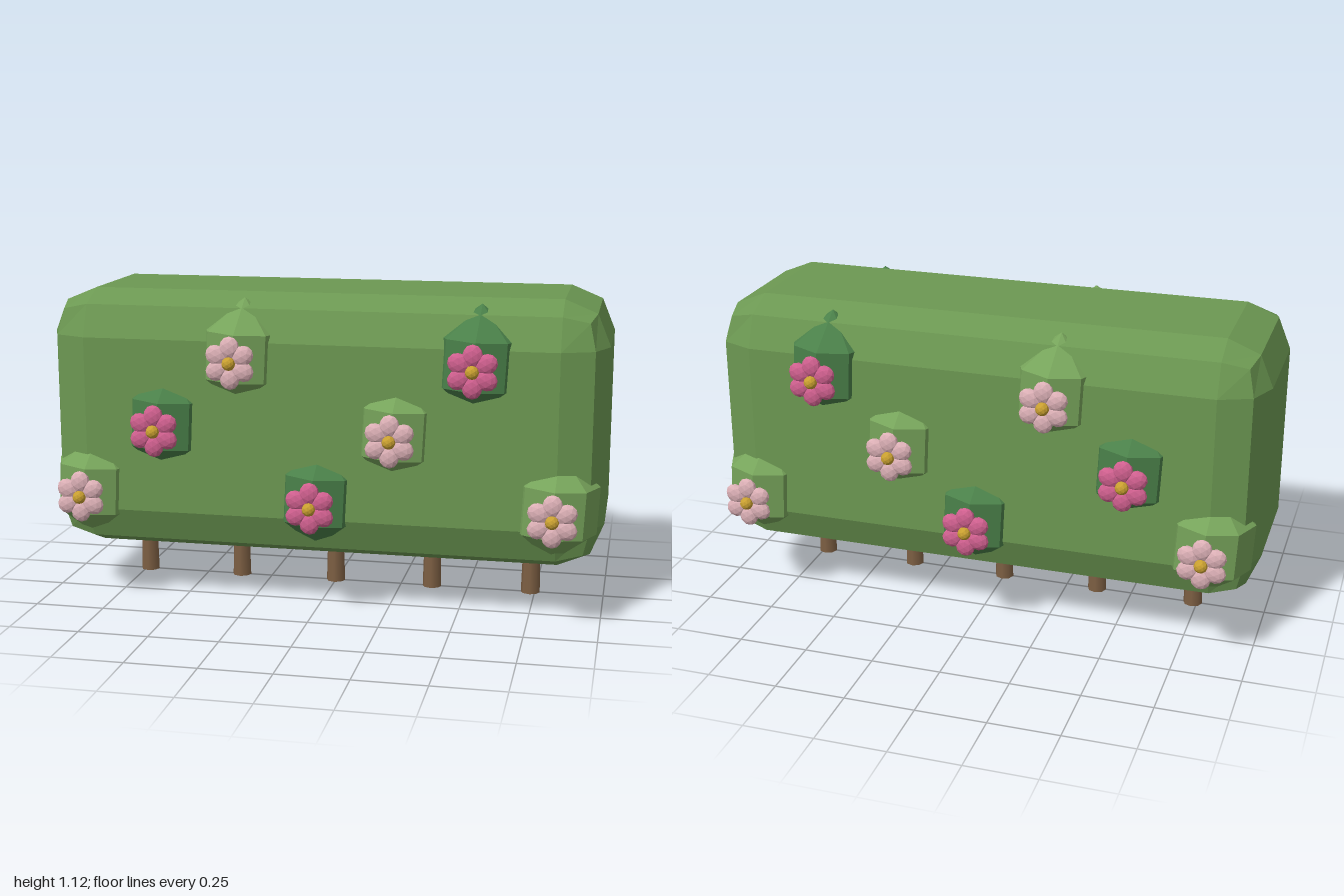
import * as THREE from 'three';
import { RoundedBoxGeometry } from 'three/addons/geometries/RoundedBoxGeometry.js';

const mat = (name, color) => {
  const m = new THREE.MeshStandardMaterial({ color });
  m.name = name;
  return m;
};

// Give every face its own normal for a faceted look
function faceted(geometry) {
  const g = geometry.index ? geometry.toNonIndexed() : geometry;
  g.computeVertexNormals();
  return g;
}

function part(parent, name, geometry, material, x = 0, y = 0, z = 0) {
  const mesh = new THREE.Mesh(geometry, material);
  mesh.name = name;
  mesh.position.set(x, y, z);
  parent.add(mesh);
  return mesh;
}

export function createModel() {
  const model = new THREE.Group();
  model.name = 'floweringHedge';

  const hedge = mat('hedge green', 0x6c9852);
  const lightLeaf = mat('light leaf green', 0x76a35a);
  const darkLeaf = mat('dark leaf green', 0x4a8049);
  const bark = mat('bark brown', 0x7d5f43);
  const pink = mat('deep pink', 0xd0608f);
  const blush = mat('pale pink', 0xdcb0b6);
  const gold = mat('pollen gold', 0xc9a030);

  // Clipped hedge body with chamfered edges
  part(model, 'hedgeBody', faceted(new RoundedBoxGeometry(2, 0.945, 0.734, 1, 0.16)), hedge, 0, 0.645, 0);

  // Row of trunks
  const trunk = new THREE.CylinderGeometry(0.029, 0.035, 0.22, 8);
  for (let i = -2; i <= 2; i++) part(model, 'trunk', trunk, bark, i * 0.367, 0.11, 0);

  // Shared geometry for the leaf clumps and flowers
  const profile = [[0, -0.2], [0.147, -0.085], [0.147, 0.085], [0, 0.2]].map(([r, y]) => new THREE.Vector2(r, y));
  const clump = faceted(new THREE.LatheGeometry(profile, 8));
  const stalk = new THREE.CylinderGeometry(0.008, 0.008, 0.08, 6).rotateX(Math.PI / 2);
  const petal = faceted(new THREE.IcosahedronGeometry(0.04, 1).scale(0.9, 1, 0.5));
  const heart = faceted(new THREE.IcosahedronGeometry(0.024, 1));

  function flowerClump(x, y, deep) {
    const group = new THREE.Group();
    group.name = 'flowerClump';
    group.position.set(x, y, 0);
    part(group, 'leafClump', clump, deep ? darkLeaf : lightLeaf, 0, 0, 0.278).rotation.z = -0.05;
    part(group, 'flowerStalk', stalk, hedge, 0, -0.005, 0.43);
    for (let i = 0; i < 6; i++) {
      const a = (i / 6) * Math.PI * 2;
      const p = part(group, 'petal', petal, deep ? pink : blush,
        -Math.sin(a) * 0.053, Math.cos(a) * 0.053 - 0.005, 0.462);
      p.rotation.z = a;
    }
    part(group, 'flowerHeart', heart, gold, 0, -0.005, 0.475);
    return group;
  }

  // Flowers in a stepped pattern, on both long sides
  const heights = [0.405, 0.655, 0.905, 0.405, 0.655, 0.905, 0.405];
  for (const angle of [0, Math.PI]) {
    const side = new THREE.Group();
    side.name = angle ? 'backFlowers' : 'frontFlowers';
    side.rotation.y = angle;
    heights.forEach((y, i) => {
      const x = (i - 3) * 0.278;
      side.add(flowerClump(angle ? -x : x, y, i % 2 === 1));
    });
    model.add(side);
  }
  return model;
}
